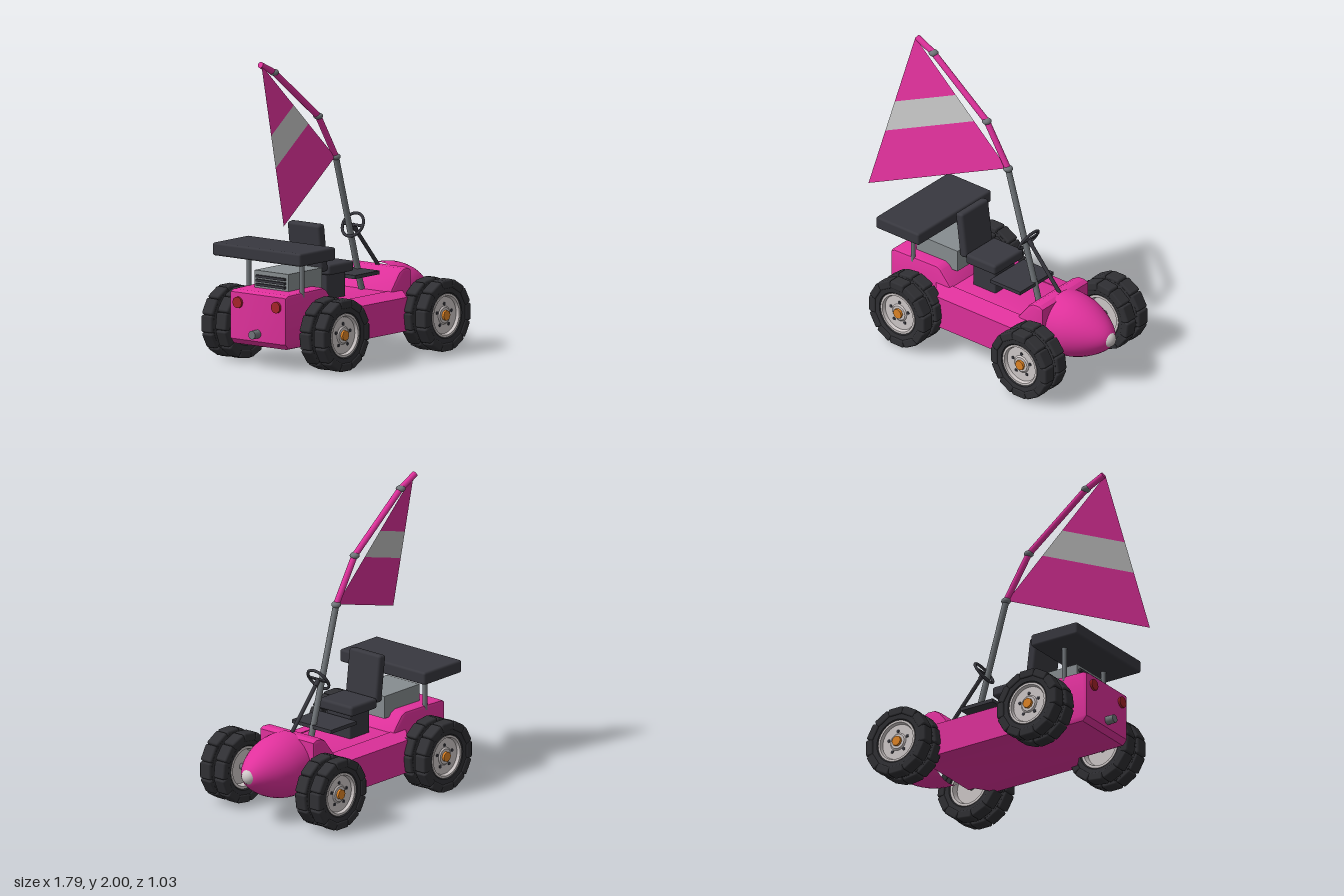
import * as THREE from 'three';
import { toCreasedNormals } from 'three/addons/utils/BufferGeometryUtils.js';
import { RoundedBoxGeometry } from 'three/addons/geometries/RoundedBoxGeometry.js';

const V = (x, y, z = 0) => new THREE.Vector3(x, y, z);
const P = (pts) => pts.map(([x, y]) => new THREE.Vector2(x, y));
const mat = (name, color, side = THREE.FrontSide) =>
  Object.assign(new THREE.MeshStandardMaterial({ color, side }), { name });

export function createModel() {
  const pink = mat('pink paint', 0xe0319c);
  const sailPink = mat('pink cloth', 0xe0319c, THREE.DoubleSide);
  const sailGrey = mat('grey cloth', 0xc4c4c4, THREE.DoubleSide);
  const dark = mat('dark padding', 0x38383f);
  const rubber = mat('tyre rubber', 0x303034);
  const steel = mat('steel', 0x72777b);
  const engineGrey = mat('engine grey', 0x878d90);
  const silver = mat('silver', 0xcfc8c8);
  const orange = mat('orange hub', 0xe08425);
  const red = mat('red lamp', 0xa8242a);

  const kart = new THREE.Group();
  kart.name = 'sailKart';

  const add = (name, geo, material, pos = V(0, 0), parent = kart) => {
    const m = new THREE.Mesh(geo, material);
    m.name = name;
    m.position.copy(pos);
    parent.add(m);
    return m;
  };
  const padded = (name, w, h, d, r, material, pos) =>
    add(name, new RoundedBoxGeometry(w, h, d, 2, r), material, pos);
  // Cylinder stretched between two points
  const rod = (name, a, b, r, material, sides = 12) => {
    const dir = b.clone().sub(a);
    const m = add(name, new THREE.CylinderGeometry(r, r, dir.length(), sides), material,
      a.clone().add(b).multiplyScalar(0.5));
    m.quaternion.setFromUnitVectors(V(0, 1), dir.normalize());
    return m;
  };

  // Main tub: side profile with raised tail and cowl
  const tubShape = new THREE.Shape(P([
    [-0.78, 0.18], [-0.75, 0.145], [0.45, 0.145], [0.49, 0.18], [0.49, 0.515], [0.46, 0.53],
    [0.41, 0.528], [0.37, 0.505], [0.28, 0.39], [-0.28, 0.39], [-0.365, 0.49], [-0.40, 0.507],
    [-0.75, 0.5], [-0.78, 0.485]]));
  const tub = new THREE.ExtrudeGeometry(tubShape, {
    depth: 0.43, bevelEnabled: true, bevelThickness: 0.02, bevelSize: 0.018, bevelOffset: -0.018, bevelSegments: 2 });
  tub.translate(0, 0, -0.215);
  add('bodyTub', toCreasedNormals(tub, 0.5), pink);

  // Side pods with sloping tops
  for (const s of [1, -1]) {
    const plan = new THREE.Shape(P([[-0.42, 0.21], [0.41, 0.21], [0.32, 0.34], [-0.31, 0.34]]
      .map(([x, z]) => [x, -s * z])));
    const g = new THREE.ExtrudeGeometry(plan, { depth: 0.25, bevelEnabled: false });
    g.rotateX(-Math.PI / 2).translate(0, 0.145, 0);
    const p = g.attributes.position;
    for (let i = 0; i < p.count; i++)
      if (p.getY(i) > 0.3 && Math.abs(p.getZ(i)) > 0.3) p.setY(i, 0.365);
    add('sidePod', toCreasedNormals(g, 0.3), pink);
  }

  // Rounded nose and its lamp
  const nose = new THREE.LatheGeometry(new THREE.SplineCurve(P([
    [0.212, 0.46], [0.212, 0.53], [0.198, 0.62], [0.16, 0.72], [0.105, 0.81], [0.05, 0.865], [0, 0.88]])).getPoints(18), 32);
  nose.rotateZ(-Math.PI / 2);
  add('nose', nose, pink, V(0, 0.328));
  add('noseLamp', new THREE.SphereGeometry(0.053, 20, 14), silver, V(0.844, 0.328));

  // Tail lamps and exhaust
  for (const s of [1, -1])
    rod('tailLamp', V(-0.77, 0.42, s * 0.16), V(-0.795, 0.42, s * 0.16), 0.037, red, 16);
  rod('exhaust', V(-0.7, 0.23), V(-0.84, 0.23), 0.028, steel, 16);

  // Engine with cooling fins
  add('engine', new THREE.BoxGeometry(0.34, 0.15, 0.28), engineGrey, V(-0.47, 0.54));
  for (let i = 0; i < 3; i++)
    add('engineFin', new THREE.BoxGeometry(0.02, 0.016, 0.24), dark, V(-0.648, 0.525 + i * 0.027));

  // Rear wing on posts
  padded('rearWing', 0.36, 0.085, 0.735, 0.015, dark, V(-0.615, 0.748));
  for (const s of [1, -1])
    rod('wingPost', V(-0.6, 0.47, s * 0.222), V(-0.6, 0.72, s * 0.222), 0.016, steel);

  // Seat
  padded('seatBase', 0.19, 0.19, 0.2, 0.01, dark, V(-0.11, 0.475));
  padded('seatCushion', 0.25, 0.07, 0.29, 0.018, dark, V(-0.105, 0.588));
  padded('seatBack', 0.062, 0.315, 0.27, 0.018, dark, V(-0.275, 0.738)).rotation.z = 0.125;

  // Dash tray, steering column and wheel
  add('dashTray', new THREE.BoxGeometry(0.25, 0.024, 0.335), dark, V(0.123, 0.517));
  rod('steeringColumn', V(0.44, 0.52), V(0.2, 0.795), 0.013, dark);
  const steering = new THREE.Group();
  steering.name = 'steeringWheel';
  steering.position.set(0.18, 0.82, 0);
  steering.rotation.y = Math.PI / 2;
  const tilt = new THREE.Group();
  tilt.rotation.x = 0.54;
  steering.add(tilt);
  kart.add(steering);
  add('steeringRing', new THREE.TorusGeometry(0.082, 0.01, 8, 28), dark, V(0, 0), tilt);
  add('steeringSpoke', new THREE.BoxGeometry(0.16, 0.016, 0.012), dark, V(0, 0), tilt);
  rod('steeringHub', V(0.18, 0.82), V(0.21, 0.785), 0.016, dark);

  // Mast, bent boom and joints
  const bends = [V(0.008, 1.285), V(-0.17, 1.573), V(-0.615, 1.915), V(-0.752, 1.98)];
  rod('mast', V(0.27, 0.38), bends[0], 0.021, steel);
  for (let i = 0; i < 3; i++) {
    rod('boom', bends[i], bends[i + 1], 0.021, pink);
    add('boomJoint', new THREE.SphereGeometry(0.032, 14, 10), steel, bends[i]).scale.y = 0.7;
  }

  // Sail: three bands between the luff and the free edge
  const top = V(-0.757, 1.982, 0.012), tack = V(0.0, 1.285, 0), clew = V(-0.897, 0.98, 0.315);
  const bands = [0, 0.44, 0.64, 1];
  for (let i = 0; i < 3; i++) {
    const [a, b] = [bands[i], bands[i + 1]];
    const c = [top.clone().lerp(clew, a), top.clone().lerp(clew, b), top.clone().lerp(tack, b), top.clone().lerp(tack, a)];
    const g = new THREE.BufferGeometry().setFromPoints([c[0], c[1], c[2], c[0], c[2], c[3]]);
    g.computeVertexNormals();
    // The top band collapses to a triangle, so share one normal
    const n = c[1].clone().sub(top).cross(c[2].clone().sub(top)).normalize();
    for (let k = 0; k < 6; k++) g.attributes.normal.setXYZ(k, n.x, n.y, n.z);
    add(i === 1 ? 'sailStripe' : 'sailPanel', g, i === 1 ? sailGrey : sailPink);
  }

  // Wheels, with outer face toward local +z
  const tyreGeo = toCreasedNormals(new THREE.LatheGeometry(P([
    [0.136, -0.08], [0.15, -0.094], [0.195, -0.1], [0.213, -0.09], [0.213, -0.014], [0.19, -0.01],
    [0.19, 0.01], [0.213, 0.014], [0.213, 0.09], [0.195, 0.1], [0.15, 0.094], [0.136, 0.08]]), 36)
    .rotateX(Math.PI / 2), 0.5);
  const rimGeo = toCreasedNormals(new THREE.LatheGeometry(P([
    [0, -0.05], [0.115, -0.05], [0.125, -0.088], [0.142, -0.088], [0.142, 0.09], [0.128, 0.09],
    [0.12, 0.07], [0.06, 0.07], [0.05, 0.078], [0, 0.078]]), 36).rotateX(Math.PI / 2), 0.5);
  const lugGeo = new RoundedBoxGeometry(0.113, 0.056, 0.09, 1, 0.012);
  const disc = (r, h, n) => new THREE.CylinderGeometry(r, r, h, n).rotateX(Math.PI / 2);

  const addWheel = (x, s) => {
    const w = new THREE.Group();
    w.name = 'wheel';
    w.position.set(x, 0.237, s * 0.41);
    w.rotation.y = s > 0 ? 0 : Math.PI;
    kart.add(w);
    add('tyre', tyreGeo, rubber, V(0, 0), w);
    add('rim', rimGeo, silver, V(0, 0), w);
    add('hubCap', disc(0.034, 0.03, 8), orange, V(0, 0, 0.08), w);
    for (let i = 0; i < 12; i++)
      for (const row of [1, -1]) {
        const a = (i + (row > 0 ? 0 : 0.25)) * Math.PI / 6;
        add('treadLug', lugGeo, rubber, V(Math.cos(a) * 0.204, Math.sin(a) * 0.204, row * 0.06), w)
          .rotation.z = a - Math.PI / 2;
      }
    for (let i = 0; i < 5; i++) {
      const a = Math.PI / 2 + i * Math.PI * 0.4;
      add('wheelBolt', disc(0.011, 0.014, 8), dark, V(Math.cos(a) * 0.075, Math.sin(a) * 0.075, 0.068), w);
    }
  };
  for (const x of [-0.5, 0.52]) {
    rod('axle', V(x, 0.237, -0.37), V(x, 0.237, 0.37), 0.02, steel);
    for (const s of [1, -1]) addWheel(x, s);
  }
  return kart;
}
